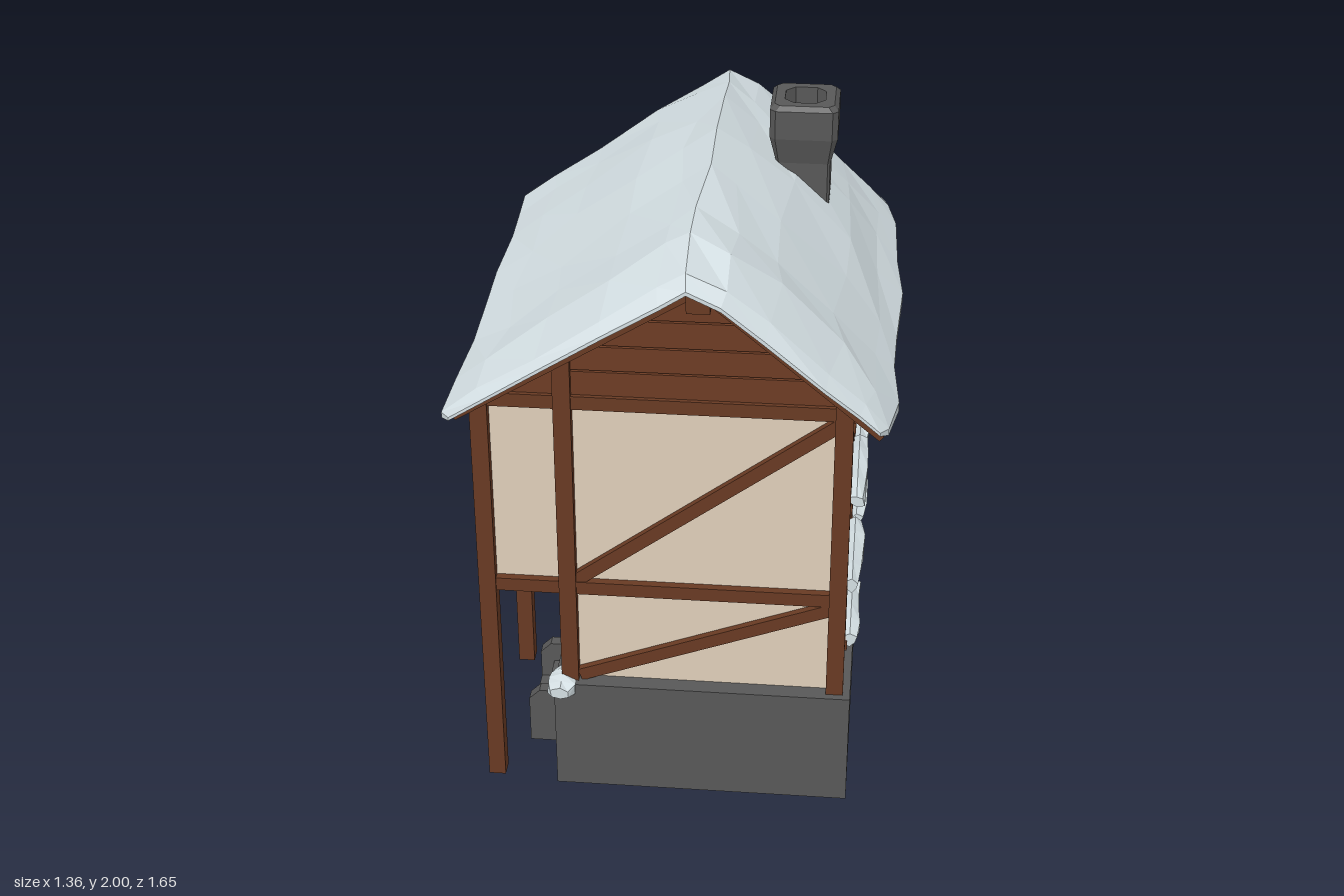
import * as THREE from 'three';

const mat = (name, color) => Object.assign(new THREE.MeshStandardMaterial({ color, flatShading: true, side: THREE.DoubleSide }), { name });

export function createModel() {
  const wood = mat('timber brown', 0x683a23);
  const plank = mat('plank brown', 0x6d3c24);
  const gap = mat('dark gap brown', 0x3a2015);
  const plaster = mat('plaster beige', 0xdfcfba);
  const stone = mat('stone grey', 0x585858);
  const snow = mat('snow', 0xd4dfe3);
  const house = new THREE.Group();
  house.name = 'house';

  const add = (name, geo, material, parent = house) => {
    const m = new THREE.Mesh(geo, material);
    m.name = name;
    parent.add(m);
    return m;
  };
  // Box given by its minimum and maximum on each axis
  const box = (name, material, x0, x1, y0, y1, z0, z1, parent) => {
    const m = add(name, new THREE.BoxGeometry(x1 - x0, y1 - y0, z1 - z0), material, parent);
    m.position.set((x0 + x1) / 2, (y0 + y1) / 2, (z0 + z1) / 2);
  };
  // Bar between two points of an xy plane
  const strut = (name, material, x1, y1, x2, y2, z, w, d) => {
    const m = add(name, new THREE.BoxGeometry(Math.hypot(x2 - x1, y2 - y1), w, d), material);
    m.position.set((x1 + x2) / 2, (y1 + y2) / 2, z);
    m.rotation.z = Math.atan2(y2 - y1, x2 - x1);
  };
  // Flat outline pushed out along z
  const slab = (name, material, pts, z, depth, parent) => {
    const shape = new THREE.Shape(pts.map(p => new THREE.Vector2(...p)));
    const m = add(name, new THREE.ExtrudeGeometry(shape, { depth, bevelEnabled: false }), material, parent);
    m.position.z = z;
  };
  // Skin over equal rings of points, with optional end caps
  const loft = (rings, capped) => {
    const n = rings[0].length, idx = [], last = (rings.length - 1) * n;
    for (let i = 0; i < rings.length - 1; i++) for (let j = 0; j < n; j++) {
      const a = i * n + j, b = i * n + (j + 1) % n;
      idx.push(a, a + n, b + n, a, b + n, b);
    }
    for (let j = 0; capped && j < n / 2 - 1; j++) {
      const q = [j, j + 1, n - 2 - j, n - 1 - j];
      idx.push(q[0], q[1], q[2], q[0], q[2], q[3]);
      idx.push(last + q[0], last + q[2], last + q[1], last + q[0], last + q[3], last + q[2]);
    }
    const g = new THREE.BufferGeometry();
    g.setAttribute('position', new THREE.Float32BufferAttribute(rings.flat(2), 3));
    g.setIndex(idx);
    const flat = g.toNonIndexed();
    flat.computeVertexNormals();
    return flat;
  };
  const noise = (a, b, c = 0) => { const s = Math.sin(a * 127.1 + b * 311.7 + c * 74.7) * 4375.85; return (s - Math.floor(s)) * 2 - 1; };

  // Thin stone base, open below, with a gap for the entrance and a ledge around the walls
  box('baseFront', stone, -0.38, 0.56, 0, 0.4, 0.74, 0.76);
  box('baseBack', stone, -0.38, 0.56, 0, 0.4, -0.69, -0.67);
  box('baseSide', stone, 0.54, 0.56, 0, 0.4, -0.68, 0.75);
  box('ledge', stone, -0.37, 0.55, 0.38, 0.4, 0.69, 0.75);
  box('ledge', stone, -0.37, 0.55, 0.38, 0.4, -0.68, -0.63);
  box('ledge', stone, 0.485, 0.55, 0.38, 0.4, -0.68, 0.75);
  [[-0.68, 0.25], [0.55, 0.75]].forEach(([a, b]) => {
    box('baseSide', stone, -0.38, -0.36, 0, 0.4, a, b);
    box('ledge', stone, -0.37, -0.31, 0.38, 0.4, a, b);
  });

  // Entrance steps with low side walls
  [0.25, 0.51].forEach(z => slab('stepSideWall', stone, [[-0.5, 0], [-0.32, 0], [-0.32, 0.4], [-0.375, 0.4], [-0.375, 0.205], [-0.465, 0.205], [-0.5, 0.17]], z, 0.04));
  [[-0.5, 0.07], [-0.455, 0.135], [-0.41, 0.2]].forEach(([x, h]) => box('step', stone, x, -0.32, h - 0.07, h, 0.28, 0.52));

  // Plaster walls
  const section = [[-0.32, 0.39], [0.5, 0.39], [0.5, 1.44], [-0.57, 1.42], [-0.57, 0.74], [-0.32, 0.74]];
  slab('frontWall', plaster, section, 0.69, 0.015);
  slab('backWall', plaster, section, -0.645, 0.015);
  box('rightWall', plaster, 0.485, 0.5, 0.39, 1.44, -0.64, 0.7);
  box('leftUpperWall', plaster, -0.575, -0.56, 0.74, 1.42, -0.64, 0.7);
  box('leftLowerWall', plaster, -0.325, -0.31, 0.39, 0.75, -0.64, 0.25);
  box('leftLowerWall', plaster, -0.325, -0.31, 0.39, 0.75, 0.55, 0.7);
  box('leftLowerWall', plaster, -0.325, -0.31, 0.6, 0.75, 0.25, 0.55);
  box('upperFloor', plaster, -0.57, 0.5, 0.74, 0.75, -0.64, 0.7);

  // Posts
  const post = (x, z, y0, y1) => box('post', wood, x - 0.027, x + 0.027, y0, y1, z - 0.027, z + 0.027);
  [0.71, -0.65].forEach(z => { post(-0.582, z, 0, 1.43); post(-0.33, z, 0.39, 1.58); post(0.51, z, 0.39, 1.46); });
  post(-0.582, 0.09, 0, 1.42);
  post(0.51, 0.03, 0.39, 1.44);
  post(-0.33, 0.09, 0.39, 0.75);

  // Horizontal beams and diagonal braces
  [0.708, -0.648].forEach(z => {
    strut('crossBeam', wood, -0.58, 0.753, 0.51, 0.753, z, 0.045, 0.045);
    strut('crossBeam', wood, -0.58, 1.42, 0.51, 1.42, z, 0.045, 0.045);
    strut('upperBrace', wood, -0.31, 0.775, 0.5, 1.385, z, 0.043, 0.04);
  });
  strut('lowerBrace', wood, -0.3, 0.415, 0.5, 0.72, 0.708, 0.043, 0.04);
  [[-0.58, 0.753], [0.51, 0.753], [-0.58, 1.4], [0.51, 1.4], [-0.33, 0.735]].forEach(([x, y]) =>
    box('sideBeam', wood, x - 0.022, x + 0.022, y - 0.022, y + 0.022, -0.65, 0.71));

  // Gables of planks over a dark backing
  const left = y => 0.07 - (1.83 - y) / 0.62, right = y => 0.07 + (1.83 - y) / 0.848;
  const rows = [1.43, 1.525, 1.61, 1.7, 1.82];
  [[0.69, 0.705], [-0.645, -0.657]].forEach(([backing, front]) => {
    slab('gableBacking', gap, [[left(1.42), 1.42], [right(1.42), 1.42], [0.07, 1.83]], backing, 0.015);
    for (let i = 0; i < 4; i++) {
      const a = rows[i] + 0.002, b = rows[i + 1] - 0.002;
      slab('gablePlank', plank, [[left(a), a], [right(a), a + 0.002], [right(b), b], [left(b), b - 0.002]], front, 0.012);
    }
  });

  // Roof boards and ridge beam
  strut('roofBoards', wood, -0.65, 1.375, 0.075, 1.825, 0.02, 0.02, 1.5);
  strut('roofBoards', wood, 0.065, 1.825, 0.62, 1.355, 0.02, 0.02, 1.45);
  box('ridgeBeam', wood, 0.045, 0.115, 1.76, 1.82, -0.73, 0.775);

  // Snow over the roof: thin, rounded edges and a soft, uneven ridge
  const top = [[-0.67, 1.405], [-0.56, 1.485], [-0.4, 1.6], [-0.2, 1.75], [-0.04, 1.865], [0.05, 1.92], [0.16, 1.865], [0.3, 1.755], [0.48, 1.575], [0.59, 1.45], [0.66, 1.375]];
  const low = top.map(([x]) => 1.845 - (x < 0.07 ? (0.07 - x) * 0.62 : (x - 0.07) * 0.835));
  // Each row: z, snow depth, left eave x, right eave x
  const lines = [[-0.785, 0.04, -0.65, 0.595], [-0.745, 0.55, -0.668, 0.61], [-0.6, 0.85, -0.66, 0.64], [-0.38, 1, -0.655, 0.65], [-0.12, 1.05, -0.665, 0.67],
    [0.15, 0.92, -0.66, 0.655], [0.4, 0.97, -0.655, 0.65], [0.6, 1, -0.672, 0.668], [0.75, 0.55, -0.685, 0.64], [0.795, 0.04, -0.655, 0.615]];
  const roofRings = lines.map(([z, depth, xl, xr], i) => {
    const end = i < 2 || i > 7, inner = end ? 0.4 : 1;
    const pts = top.map(([x, y], j) => {
      const px = (x < 0 ? x * xl / -0.67 : x * xr / 0.66) + 0.018 * noise(j, i, 3) * inner * (j % 10 ? 1 : 0);
      const pz = z + (i < 2 ? -0.045 * (1 - Math.abs(x - 0.1) * 2) : i > 7 ? -0.025 * x : 0.05 * noise(i, j)) + 0.006 * noise(i, j, 5);
      const base = 1.845 - (px < 0.07 ? (0.07 - px) * 0.62 : (px - 0.07) * 0.835);
      return [px, base, pz, (y - low[j]) * depth + 0.006 + 0.014 * noise(i, j, 9) * depth * (j % 10 ? 1 : 0.3)];
    });
    return [...pts.map(([x, y, zz, t]) => [x, y + t, zz]), ...pts.map(([x, y, zz]) => [x, y - 0.004, zz]).reverse()];
  });
  add('snowyRoof', loft(roofRings, true), snow);

  // Chimney with a flared top, open all the way down to the snow
  const octagon = (h, c, y) => {
    const k = h - c;
    return [[h, -k], [h, k], [k, h], [-k, h], [-h, k], [-h, -k], [-k, -h], [k, -h]].map(([x, z]) => [0.33 + x, y, -0.293 + z]);
  };
  add('chimney', loft([octagon(0.087, 0.008, 1.55), octagon(0.087, 0.008, 1.8), octagon(0.109, 0.018, 1.89), octagon(0.109, 0.018, 1.985),
    octagon(0.095, 0.018, 2), octagon(0.065, 0.03, 2), octagon(0.065, 0.03, 1.55)], false), stone);

  // Lump of snow along z, or along x when turned
  const drift = (x, y, z, len, w, h, seed, turn = 0) => {
    const g = new THREE.CylinderGeometry(0.5, 0.5, 1, 6, 4).toNonIndexed();
    const p = g.attributes.position;
    for (let i = 0; i < p.count; i++) {
      const a = Math.round(p.getX(i) * 50), b = Math.round(p.getY(i) * 4), c = Math.round(p.getZ(i) * 50);
      const s = (Math.abs(b) === 2 ? 0.72 : 1) + 0.25 * noise(a + seed, b, c);
      p.setXYZ(i, p.getX(i) * s * w, p.getZ(i) * s * h, p.getY(i) * len);
    }
    // Swapping two axes turned the faces inside out, so reverse their corners
    for (let i = 0; i < p.count; i += 3) {
      const [u, v] = [i + 1, i + 2].map(k => [p.getX(k), p.getY(k), p.getZ(k)]);
      p.setXYZ(i + 1, ...v);
      p.setXYZ(i + 2, ...u);
    }
    g.computeVertexNormals();
    const m = add('snowDrift', g, snow);
    m.position.set(x, y, z);
    m.rotation.y = turn;
  };

  // Shuttered windows, side = +1 or -1 for the outward x direction
  const shutter = (side, x, y0, y1, z) => {
    const g = new THREE.Group();
    g.name = 'window';
    box('windowBacking', gap, -0.01, 0.006, y0 + 0.02, y1 - 0.02, -0.125, 0.125, g);
    [y0, y1 - 0.035].forEach(y => box('rail', wood, 0, 0.042, y, y + 0.035, -0.163, 0.163, g));
    [-0.14, 0.14].forEach(s => box('stile', wood, 0, 0.036, y0 + 0.02, y1 - 0.02, s - 0.016, s + 0.016, g));
    for (let i = 0; i < 5; i++) box('shutterPlank', plank, 0, 0.024, y0 + 0.03, y1 - 0.03, -0.122 + i * 0.05, -0.077 + i * 0.05, g);
    g.position.set(x, 0, z);
    if (side < 0) g.rotation.y = Math.PI;
    house.add(g);
  };
  [0.365, -0.343].forEach((z, i) => {
    shutter(1, 0.5, 0.98, 1.275, z);
    shutter(1, 0.5, 0.42, 0.7, z);
    shutter(-1, -0.575, 0.98, 1.275, z);
    drift(0.553, 1.018, z + (i ? 0.01 : 0.02), i ? 0.31 : 0.36, 0.065, 0.065, i + 1);
    drift(0.55, 0.685, z, i ? 0.3 : 0.36, 0.065, 0.065, i + 3);
    drift(0.55, 0.458, z, 0.31, 0.065, 0.065, i + 5);
    drift(-0.62, 1.02, z, 0.32, 0.06, 0.07, i + 7);
  });
  drift(-0.61, 1.275, -0.343, 0.32, 0.045, 0.065, 11);

  // Doors with chamfered heads
  const door = (name, frame, w, y0, y1) => {
    const g = new THREE.Group();
    g.name = name;
    const h = w / 2, inner = h - 0.03, n = 4, s = 2 * inner / n, t = y1 - 0.03;
    slab('doorFrame', frame, [[-h, y0], [h, y0], [h, y1 - 0.08], [h - 0.08, y1], [0.08 - h, y1], [-h, y1 - 0.08]], 0, 0.025, g);
    for (let i = 0; i < n; i++) {
      const a = -inner + i * s + 0.003, b = a + s - 0.006;
      slab('doorPlank', plank, [[a, y0], [b, y0], [b, i === n - 1 ? t - 0.06 : t], [a, i === 0 ? t - 0.06 : t]], 0.025, 0.009, g);
    }
    [0.2, 0.7].forEach(f => { const y = y0 + (y1 - y0) * f; box('doorBatten', wood, -inner, inner, y, y + 0.03, 0.03, 0.039, g); });
    house.add(g);
    return g;
  };
  const back = door('backDoor', wood, 0.33, 0.39, 0.725);
  back.position.set(0.27, 0, -0.63);
  back.rotation.y = Math.PI;
  const entrance = door('entranceDoor', stone, 0.31, 0.19, 0.67);
  entrance.position.set(-0.305, 0, 0.4);
  entrance.rotation.y = -Math.PI / 2;

  // Snow on the corners of the base
  drift(-0.355, 0.385, 0.735, 0.12, 0.1, 0.075, 21);
  drift(-0.25, 0.4, -0.675, 0.31, 0.085, 0.055, 23, Math.PI / 2);
  drift(-0.365, 0.4, -0.59, 0.27, 0.085, 0.055, 25);

  return house;
}
